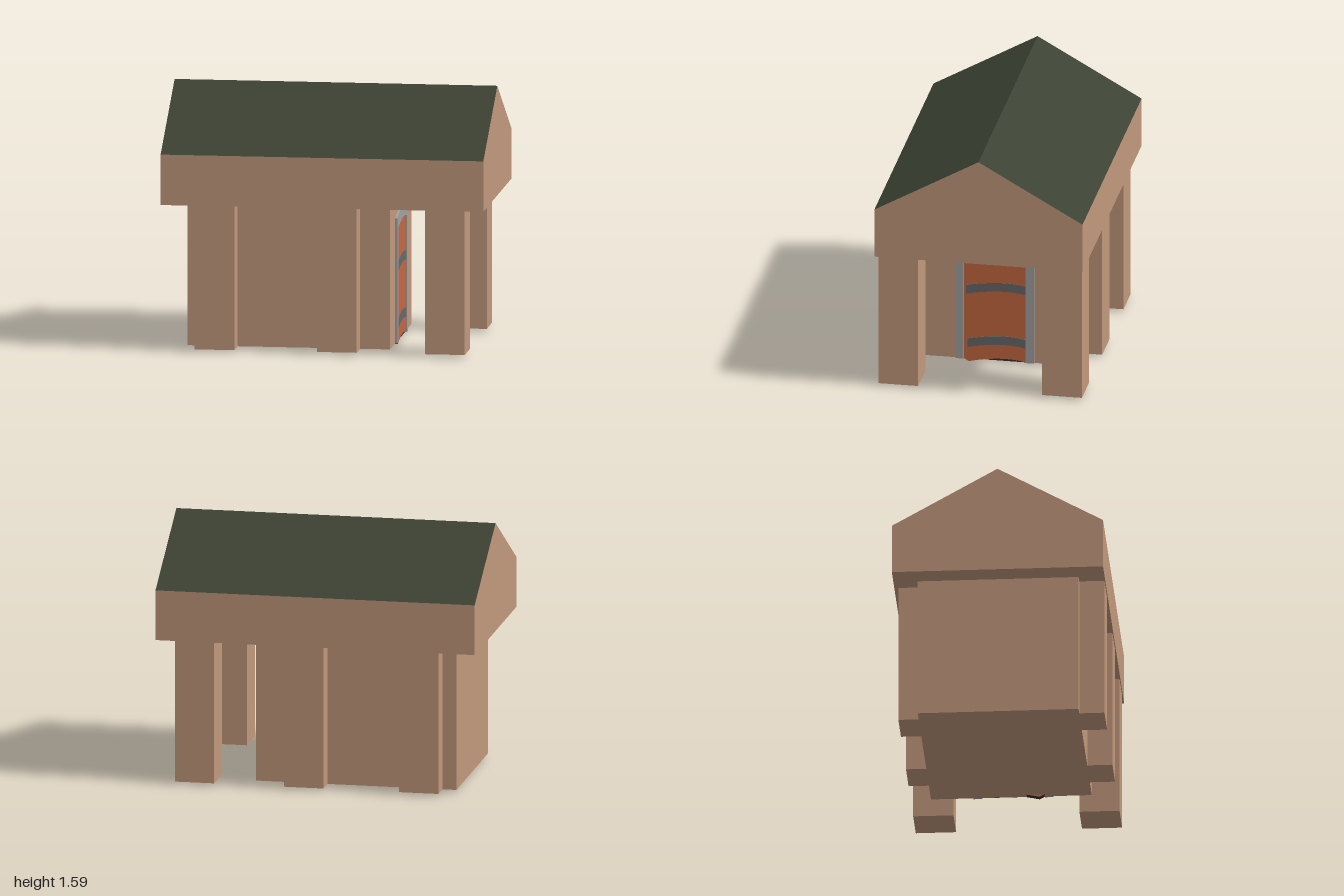
import * as THREE from 'three';

const mat = (name, color) => {
  const m = new THREE.MeshStandardMaterial({ color });
  m.name = name;
  return m;
};

export function createModel() {
  const group = new THREE.Group();
  const wall = mat('sandy wall', 0xc2997d);
  const roof = mat('dark green roof', 0x3c4233);
  const doorPaint = mat('rust door', 0xc46741);
  const stone = mat('grey frame', 0xa0a1a0);
  const iron = mat('dark iron', 0x686868);
  const shade = mat('dark door edge', 0x35322f);

  const add = (name, geometry, material) => {
    const mesh = new THREE.Mesh(geometry, material);
    mesh.name = name;
    group.add(mesh);
    return mesh;
  };

  // Box given by its limits on each axis
  const block = (name, material, x0, x1, y0, y1, z0, z1) =>
    add(name, new THREE.BoxGeometry(x1 - x0, y1 - y0, z1 - z0), material)
      .position.set((x0 + x1) / 2, (y0 + y1) / 2, (z0 + z1) / 2);

  // Profile drawn as seen from +x (u = -z, v = y), extruded from x0 to x1
  const extrudeX = (shape, x0, x1) =>
    new THREE.ExtrudeGeometry(shape, { depth: x1 - x0, bevelEnabled: false, curveSegments: 10 })
      .rotateY(Math.PI / 2).translate(x0, 0, 0);

  // Gabled top: the two sloping sides are green, the rest is wall
  const gable = new THREE.Shape([[-0.65, 0.911], [0.65, 0.911], [0.65, 1.225], [0, 1.592], [-0.65, 1.225]]
    .map(([u, v]) => new THREE.Vector2(u, v)));
  const top = extrudeX(gable, -1, 1);
  top.clearGroups();
  top.addGroup(0, 30, 0); // gable ends, underside and back eave
  top.addGroup(30, 12, 1); // slopes
  top.addGroup(42, 6, 0); // front eave
  add('gabledRoof', top, [wall, roof]);

  // Closed room and the rows of pillars
  block('room', wall, -0.855, 0.4, 0.017, 0.911, -0.5, 0.49);
  for (const x of [-0.79, -0.032, 0.638])
    block('frontPillar', wall, x, x + 0.246, 0.017, 0.911, 0.398, 0.645);
  for (const x of [-0.767, -0.047, 0.638])
    block('backPillar', wall, x, x + 0.246, 0.017, 0.911, -0.625, -0.377);

  // Arched door frame, open at the bottom
  const frame = new THREE.Shape();
  frame.moveTo(0.24, 0.017);
  frame.lineTo(0.24, 0.811);
  frame.quadraticCurveTo(0.02, 0.87, -0.253, 0.795);
  frame.lineTo(-0.253, 0.017);
  frame.lineTo(-0.2, 0.017);
  frame.lineTo(-0.2, 0.729);
  frame.quadraticCurveTo(0.02, 0.784, 0.187, 0.746);
  frame.lineTo(0.187, 0.017);
  add('doorFrame', extrudeX(frame, 0.38, 0.414), stone);

  // Door leaf with a bowed top and bottom and dark edges
  const leaf = new THREE.Shape();
  leaf.moveTo(-0.2, 0.017);
  leaf.lineTo(-0.17, 0);
  leaf.quadraticCurveTo(0.04, 0.052, 0.187, 0.018);
  leaf.lineTo(0.187, 0.746);
  leaf.quadraticCurveTo(0.02, 0.784, -0.2, 0.729);
  add('door', extrudeX(leaf, 0.368, 0.406), [doorPaint, shade]);

  // Dark gap under the door
  block('doorGap', shade, 0.396, 0.402, 0.017, 0.05, -0.187, 0.05);

  // Bowed iron straps
  for (const [u, y] of [[-0.178, 0.095], [-0.188, 0.451]]) {
    const strap = new THREE.Shape();
    strap.moveTo(u, y);
    strap.quadraticCurveTo(0.04, y + 0.05, 0.187, y + 0.017);
    strap.lineTo(0.187, y + 0.074);
    strap.quadraticCurveTo(0.04, y + 0.107, u, y + 0.057);
    add('doorStrap', extrudeX(strap, 0.404, 0.41), iron);
  }
  return group;
}
